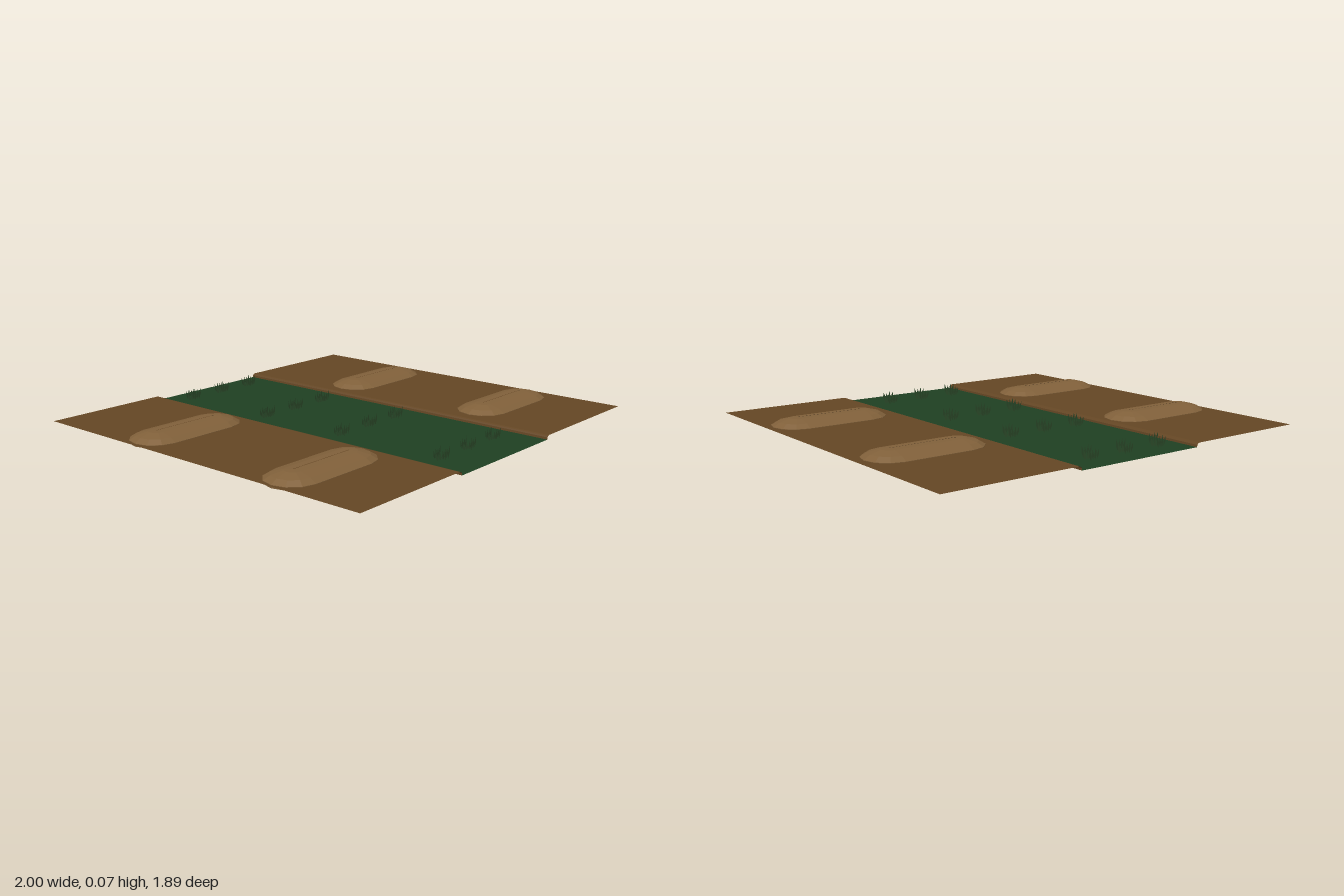
import * as THREE from 'three';

const DEPTH = 0.945;   // half length of the ground along z
const GROUND = 0.034;  // height of the soil
const BED = 0.015;     // height of the sunken green strip

const material = (color, flatShading = false) =>
  new THREE.MeshStandardMaterial({ color, flatShading, side: THREE.DoubleSide });

const soilMat = material(0x644624);
const moundMat = material(0x80603a, true);
const bedMat = material(0x1f4022);
const grassMat = material(0x2c4a2a);

function addMesh(parent, name, geometry, mat) {
  const mesh = new THREE.Mesh(geometry, mat);
  mesh.name = name;
  parent.add(mesh);
  return mesh;
}

// Sheet swept along z from a left-to-right profile of [x, y] points
function sheet(profile) {
  const pos = [];
  for (let i = 0; i < profile.length - 1; i++) {
    const [x0, y0] = profile[i], [x1, y1] = profile[i + 1];
    pos.push(x0, y0, DEPTH, x1, y1, DEPTH, x1, y1, -DEPTH);
    pos.push(x0, y0, DEPTH, x1, y1, -DEPTH, x0, y0, -DEPTH);
  }
  const geo = new THREE.BufferGeometry();
  geo.setAttribute('position', new THREE.Float32BufferAttribute(pos, 3));
  geo.computeVertexNormals();
  return geo;
}

// Low-poly oblong mound: stadium-shaped rings stacked with growing inset
function moundGeometry(halfX, halfZ) {
  const rings = [[0.125, 0.022], [0, 0.022], [0, 0.036], [0.03, 0.054], [0.085, 0.068], [0.125, 0.07]];
  const perEnd = 7, n = perEnd * 2;
  const straight = halfX - halfZ;
  const pos = [], index = [];
  for (const [inset, y] of rings) {
    const r = Math.max(halfZ - inset, 0.002);
    for (let i = 0; i < n; i++) {
      const end = i < perEnd ? 1 : -1;
      const a = -Math.PI / 2 + (i % perEnd) / (perEnd - 1) * Math.PI + (end < 0 ? Math.PI : 0);
      pos.push(end * straight + Math.cos(a) * r, y, -Math.sin(a) * r);
    }
  }
  for (let k = 0; k < rings.length - 1; k++) {
    for (let i = 0; i < n; i++) {
      const j = (i + 1) % n;
      const a = k * n + i, b = k * n + j, c = a + n, d = b + n;
      index.push(a, b, d, a, d, c);
    }
  }
  const geo = new THREE.BufferGeometry();
  geo.setAttribute('position', new THREE.Float32BufferAttribute(pos, 3));
  geo.setIndex(index);
  geo.computeVertexNormals();
  return geo;
}

// Upright card of pointed leaves, standing on y = 0
function bladeCard() {
  const shapes = [-0.025, -0.008, 0.009, 0.026].map((x, i) => {
    const h = 0.05 + 0.006 * (i % 2);
    const lean = x * 0.3;
    const s = new THREE.Shape();
    s.moveTo(x * 0.8, i % 2 ? 0 : 0.007);
    s.lineTo(x + 0.009, h * 0.45);
    s.lineTo(x + lean, h);
    s.lineTo(x - 0.007, h * 0.5);
    s.closePath();
    return s;
  });
  return new THREE.ShapeGeometry(shapes);
}

export function createModel() {
  const model = new THREE.Group();
  model.name = 'plantingBed';

  // Soil on both sides, with a rolled lip down to the sunken strip
  addMesh(model, 'rightSoil', sheet([
    [-1, GROUND], [-0.375, GROUND], [-0.364, 0.031], [-0.358, 0.025], [-0.357, BED]]), soilMat);
  addMesh(model, 'leftSoil', sheet([
    [0.315, BED], [0.316, 0.025], [0.32, 0.031], [0.328, GROUND], [1, GROUND]]), soilMat);
  addMesh(model, 'greenStrip', sheet([[-0.357, BED], [0.315, BED]]), bedMat);

  // Four earth mounds
  const mound = moundGeometry(0.295, 0.125);
  for (const [x, z] of [[-0.69, -0.357], [0.667, -0.34], [-0.695, 0.485], [0.675, 0.47]]) {
    addMesh(model, 'mound', mound, moundMat).position.set(x, 0, z);
  }

  // Rows of grass tufts, each made of three cards
  const card = bladeCard();
  for (const z of [0.757, 0.197, -0.28, -0.818]) {
    for (const x of [-0.24, -0.042, 0.155]) {
      const tuft = new THREE.Group();
      tuft.name = 'grassTuft';
      tuft.position.set(x, 0, z);
      [[0.024, 0.018, 0.15], [0, 0, -0.12], [-0.024, 0.01, 0.18]].forEach(([dz, y, yaw]) => {
        const blades = addMesh(tuft, 'grassBlades', card, grassMat);
        blades.position.set(0, y, dz);
        blades.rotation.y = yaw;
      });
      model.add(tuft);
    }
  }
  return model;
}
